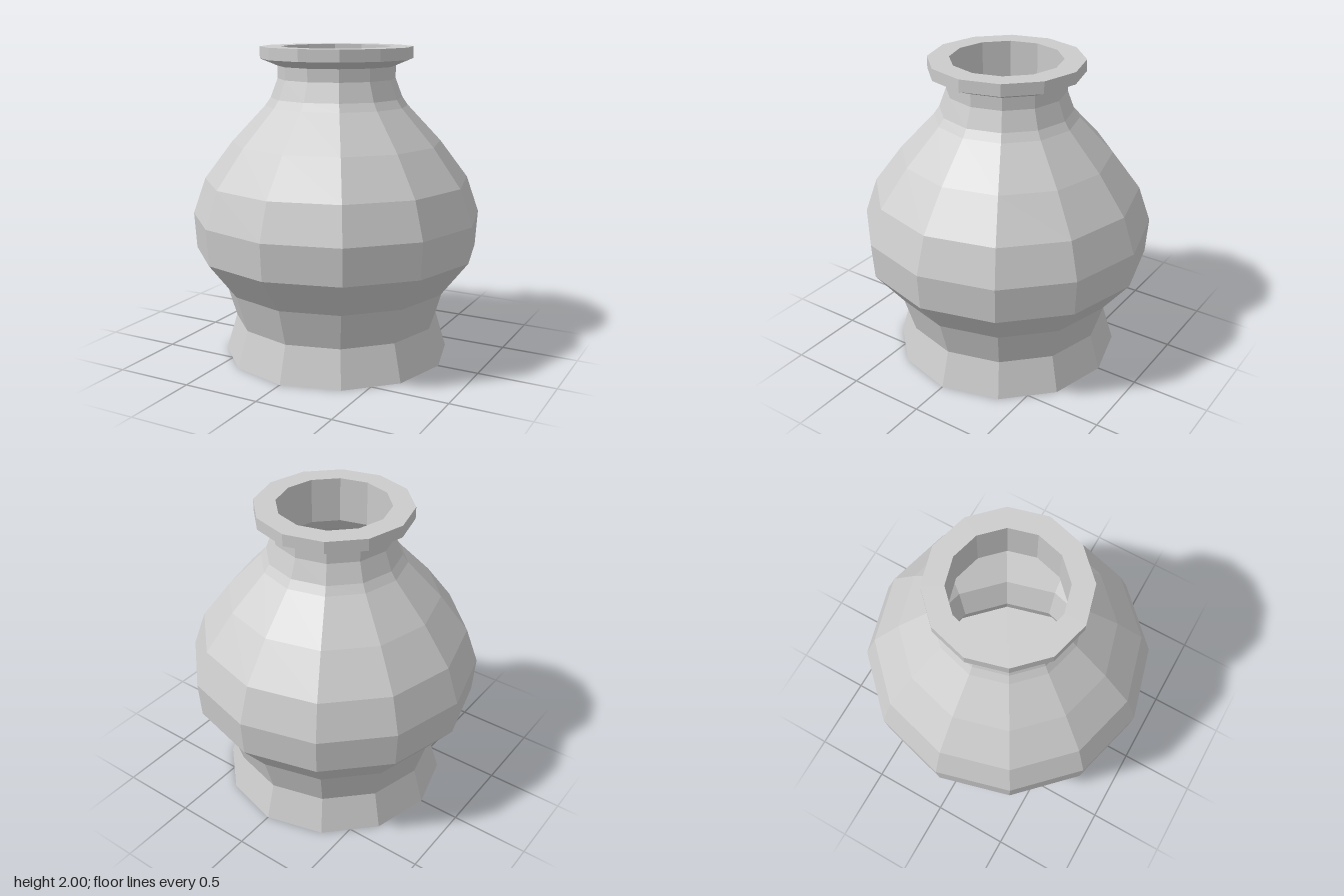
import * as THREE from 'three';

const SIDES = 12;

// Turn a list of [radius, height] points into a faceted ring surface
function turned(name, profile) {
  const points = profile.map(([r, y]) => new THREE.Vector2(r, y));
  const material = new THREE.MeshStandardMaterial({ color: 0xcccccc, flatShading: true });
  const mesh = new THREE.Mesh(new THREE.LatheGeometry(points, SIDES), material);
  mesh.name = name;
  return mesh;
}

export function createModel() {
  const vase = new THREE.Group();
  vase.name = 'vase';

  // Closed base, flared foot, belly and shoulder up to the neck
  vase.add(turned('body', [
    [0, 0], [0.735, 0], [0.665, 0.235], [0.735, 0.47], [0.915, 0.7], [0.93, 0.93],
    [0.85, 1.16], [0.67, 1.4], [0.455, 1.63], [0.42, 1.68], [0.375, 1.8], [0.375, 1.88],
  ]));

  // Overhanging lip with a flat top
  vase.add(turned('rim', [[0.375, 1.88], [0.485, 1.925], [0.485, 2], [0.35, 2]]));

  // Hollow inside, from the mouth down to the floor
  vase.add(turned('interior', [
    [0.35, 2], [0.35, 1.71], [0.42, 1.62], [0.635, 1.39], [0.815, 1.15], [0.895, 0.93],
    [0.88, 0.71], [0.7, 0.48], [0.63, 0.235], [0.69, 0.03], [0, 0.03],
  ]));

  return vase;
}
